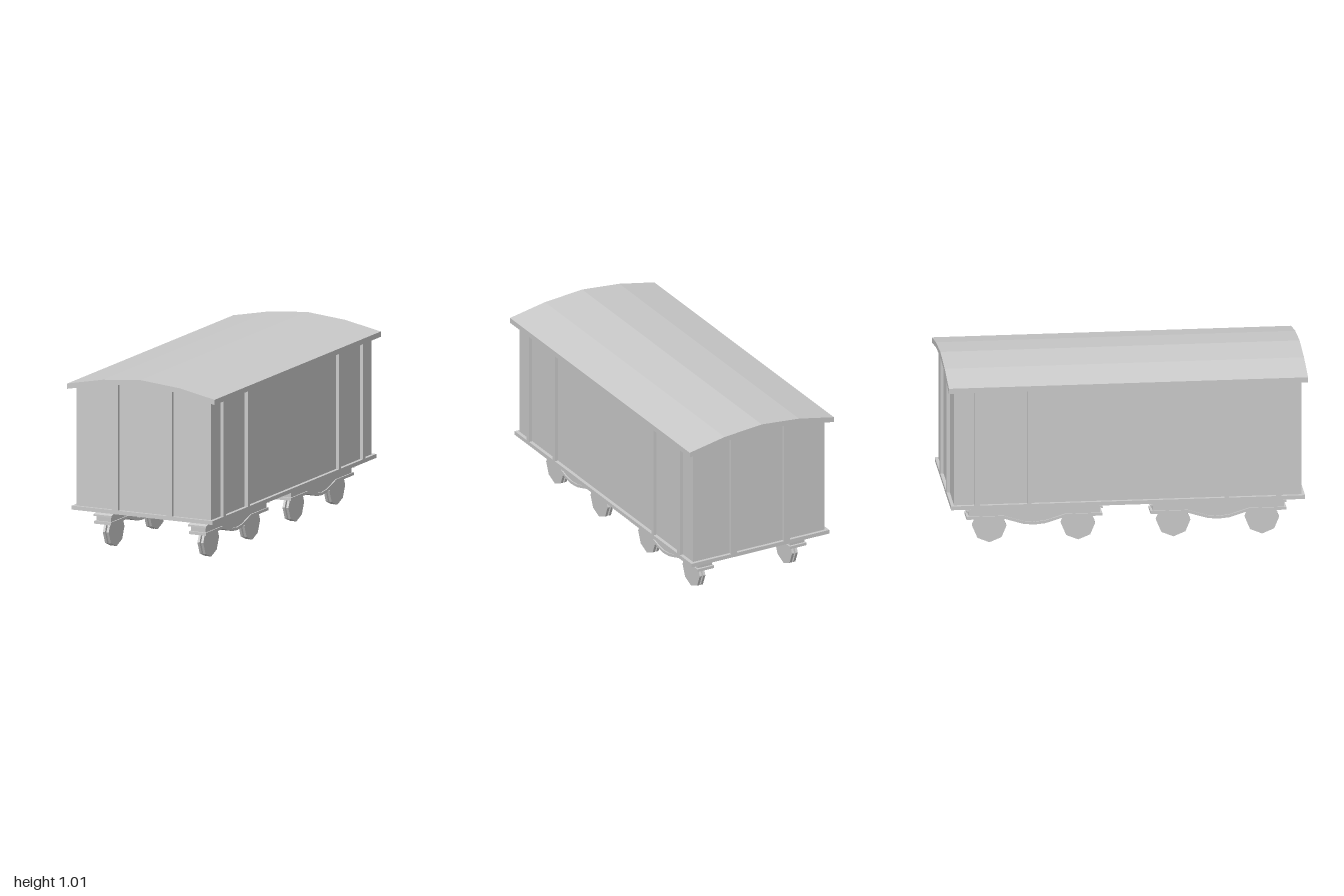
import * as THREE from 'three';

const grey = new THREE.MeshStandardMaterial({ color: 0xcccccc, flatShading: true });
const greyThin = new THREE.MeshStandardMaterial({ color: 0xcccccc, flatShading: true, side: THREE.DoubleSide });

function add(parent, name, geometry, x = 0, y = 0, z = 0, material = grey) {
  const mesh = new THREE.Mesh(geometry, material);
  mesh.name = name;
  mesh.position.set(x, y, z);
  parent.add(mesh);
  return mesh;
}

const toShape = (pts) => new THREE.Shape(pts.map(([x, y]) => new THREE.Vector2(x, y)));

// Extrudes an outline along z, centred
function slab(pts, depth) {
  const g = new THREE.ExtrudeGeometry(toShape(pts), { depth, bevelEnabled: false });
  return g.translate(0, 0, -depth / 2);
}

// Same, but the outline lies in the (z, y) plane and the depth runs along x
const sideSlab = (pts, depth) => slab(pts, depth).rotateY(-Math.PI / 2);

// Band between a line and the same line shifted in y
const band = (line, dy) => [...line, ...line.map(([x, y]) => [x, y + dy]).reverse()];

const SILL_X = 0.44, SILL_Z = 0.985, WALL_X = 0.42, WALL_Z = 0.967;
const SILL_BOTTOM = 0.235, SILL_TOP = 0.257;

function createBogie() {
  const bogie = new THREE.Group();
  bogie.name = 'bogie';
  const top = [[-0.38, 0.2], [-0.235, 0.234], [0.235, 0.234], [0.38, 0.2]];
  const bottom = [[-0.378, 0.146], [-0.17, 0.146], [-0.12, 0.13], [-0.06, 0.112], [0, 0.106],
    [0.06, 0.112], [0.12, 0.13], [0.17, 0.146], [0.378, 0.146]];
  const inset = (line, dy) => line.map(([x, y]) => [x * 0.965, y + dy]);

  add(bogie, 'topFlange', sideSlab(band(top, -0.01), 0.112));
  add(bogie, 'sideFrame', sideSlab([...inset(bottom, 0.008), ...inset(top, -0.006).reverse()], 0.092));
  add(bogie, 'bottomFlange', sideSlab(band(bottom, 0.016), 0.106));

  // Each wheel is a pair of thin eight-sided discs
  const disc = new THREE.CylinderGeometry(0.095, 0.095, 0.014, 8).rotateZ(Math.PI / 2);
  for (const z of [-0.247, 0.247]) {
    for (const x of [-0.0115, 0.0115]) add(bogie, 'wheelDisc', disc, x, 0.095, z);
  }
  return bogie;
}

export function createModel() {
  const model = new THREE.Group();
  model.name = 'railwayWagon';

  // Arched roof
  const arch = [[-0.46, 0.95], [-0.237, 0.994], [0, 1.015], [0.237, 0.994], [0.46, 0.95]];
  add(model, 'roof', slab(band(arch, -0.03), 2));

  // Thin walls, open underneath
  const gable = toShape([[-WALL_X, SILL_BOTTOM], [WALL_X, SILL_BOTTOM], [WALL_X, 0.928],
    [0.237, 0.964], [0, 0.985], [-0.237, 0.964], [-WALL_X, 0.928]]);
  const wallHeight = 0.928 - SILL_BOTTOM;
  for (const s of [-1, 1]) {
    const end = add(model, 'endWall', new THREE.ShapeGeometry(gable), 0, 0, s * WALL_Z, greyThin);
    end.rotation.y = s > 0 ? 0 : Math.PI;
    const side = add(model, 'sideWall', new THREE.PlaneGeometry(2 * WALL_Z, wallHeight),
      s * WALL_X, SILL_BOTTOM + wallHeight / 2, 0, greyThin);
    side.rotation.y = s * Math.PI / 2;
  }

  // Sill frame around the foot of the walls
  const sillH = SILL_TOP - SILL_BOTTOM, sillY = (SILL_TOP + SILL_BOTTOM) / 2;
  const dx = SILL_X - WALL_X, dz = SILL_Z - WALL_Z;
  for (const s of [-1, 1]) {
    add(model, 'sideSill', new THREE.BoxGeometry(dx, sillH, 2 * SILL_Z), s * (SILL_X - dx / 2), sillY, 0);
    add(model, 'endSill', new THREE.BoxGeometry(2 * WALL_X, sillH, dz), 0, sillY, s * (SILL_Z - dz / 2));
  }

  // Upright posts on sides and ends
  for (const sx of [-1, 1]) {
    for (const sz of [-1, 1]) {
      for (const [z, width] of [[0.839, 0.03], [0.549, 0.024]]) {
        add(model, 'sidePost', new THREE.BoxGeometry(dx, 0.926 - SILL_TOP, width),
          sx * (SILL_X - dx / 2), (0.926 + SILL_TOP) / 2, sz * z);
      }
      add(model, 'endPost', new THREE.BoxGeometry(0.037, 0.973 - SILL_TOP, dz),
        sx * 0.169, (0.973 + SILL_TOP) / 2, sz * (SILL_Z - dz / 2));

      const bogie = createBogie();
      bogie.position.set(sx * 0.295, 0, sz * 0.512);
      model.add(bogie);
    }
  }

  return model;
}
